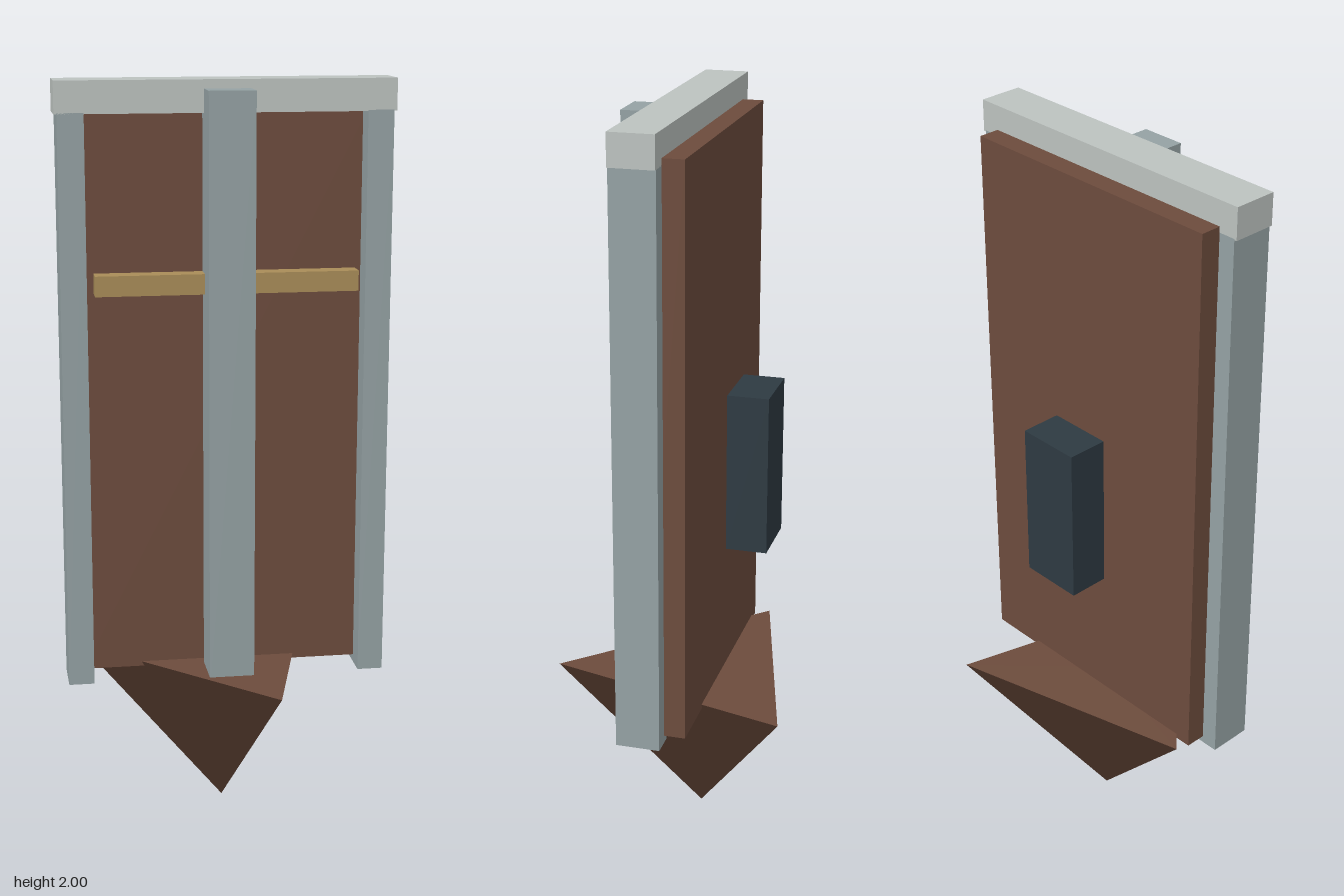
import * as THREE from 'three';

const material = (color) => new THREE.MeshStandardMaterial({ color });

// Box given by its [min, max] extent on each axis
function block(name, mat, [x0, x1], [y0, y1], [z0, z1]) {
  const mesh = new THREE.Mesh(new THREE.BoxGeometry(x1 - x0, y1 - y0, z1 - z0), mat);
  mesh.position.set((x0 + x1) / 2, (y0 + y1) / 2, (z0 + z1) / 2);
  mesh.name = name;
  return mesh;
}

export function createModel() {
  const group = new THREE.Group();
  group.name = 'panelOnSpike';

  const wood = material(0x6d4c3d);
  const steel = material(0x95a2a4);
  const paleSteel = material(0xbdc3c0);
  const brass = material(0xa98d58);
  const dark = material(0x2e3a42);
  const frameDepth = [-0.055, 0.062];

  // Wooden slab set into the frame
  group.add(block('panel', wood, [-0.385, 0.385], [0.42, 1.935], [-0.111, 0]));

  // Frame: two side posts and the top beam
  for (const [name, x] of [['leftPost', 0.397], ['rightPost', -0.397]]) {
    group.add(block(name, steel, [x - 0.034, x + 0.034], [0.4, 1.92], frameDepth));
  }
  group.add(block('topBeam', paleSteel, [-0.438, 0.438], [1.917, 2], frameDepth));

  // Front upright with a crossbar passing through it
  group.add(block('centrePost', steel, [-0.06, 0.06], [0.4, 1.977], [0.028, 0.147]));
  group.add(block('crossbar', brass, [-0.343, 0.343], [1.457, 1.51], [0.022, 0.073]));

  // Dark box floating behind the panel
  group.add(block('backBox', dark, [-0.088, 0.088], [0.835, 1.265], [-0.25, -0.14]));

  // Three-sided spike pointing down, smooth shaded
  const spike = new THREE.Mesh(
    new THREE.ConeGeometry(0.397, 0.433, 3, 1, false, Math.PI / 4), wood);
  spike.rotation.x = Math.PI;
  spike.position.set(0, 0.2165, -0.052);
  spike.name = 'spike';
  group.add(spike);

  return group;
}
